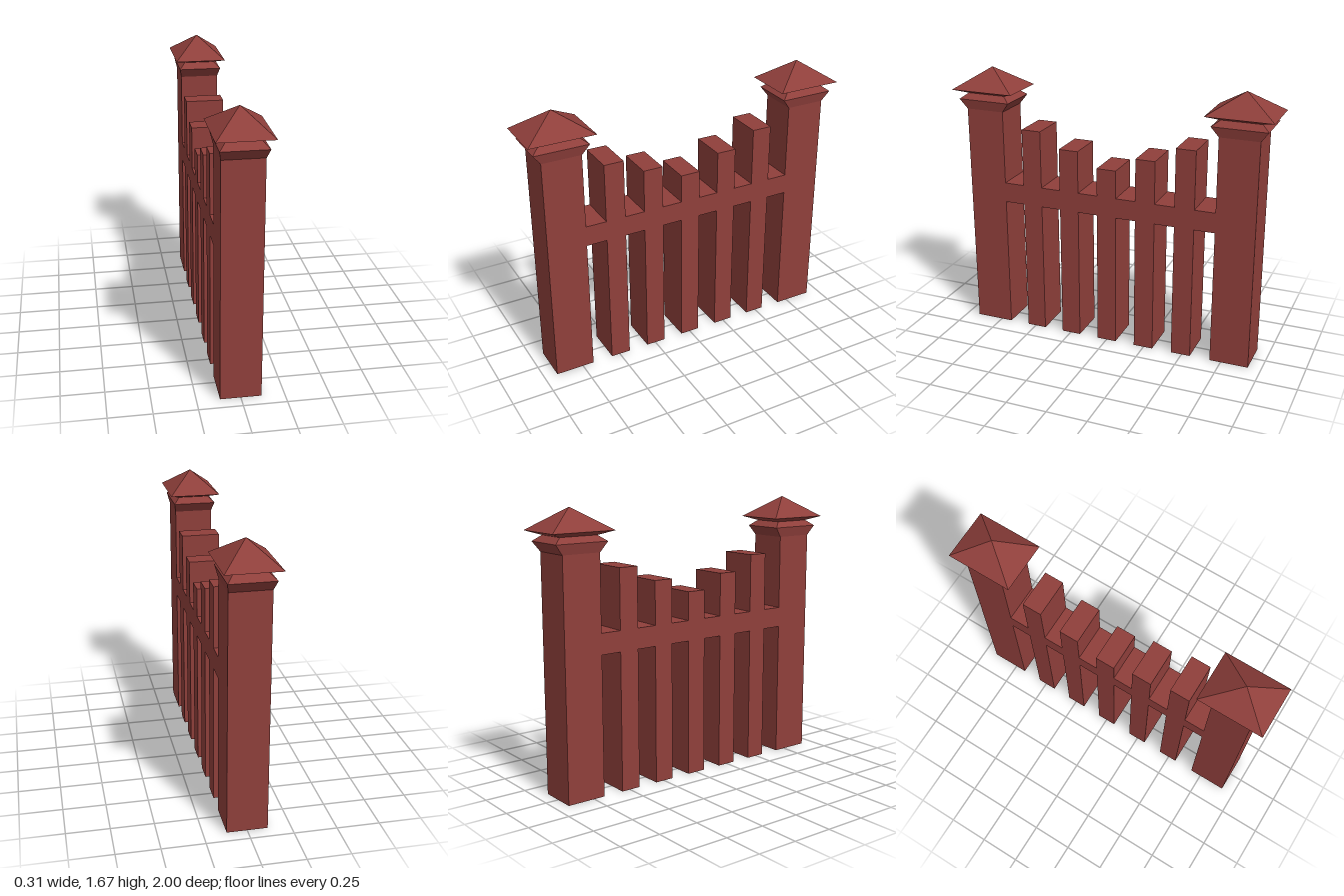
import * as THREE from 'three';

const material = new THREE.MeshStandardMaterial({ color: 0x8f3f3b, flatShading: true });

// Stack of rectangular cross-sections [y, halfX, halfZ], joined by flat sides
function stackedRects(rings) {
  const pos = [];
  const corners = rings.map(([y, hx, hz]) =>
    [[hx, y, hz], [hx, y, -hz], [-hx, y, -hz], [-hx, y, hz]]);
  const quad = (a, b, c, d) => pos.push(...a, ...b, ...c, ...a, ...c, ...d);
  for (let r = 0; r < corners.length - 1; r++) {
    const lo = corners[r], hi = corners[r + 1];
    for (let i = 0; i < 4; i++) {
      const j = (i + 1) % 4;
      if (rings[r + 1][1] === 0) pos.push(...lo[i], ...lo[j], ...hi[i]);
      else quad(lo[i], lo[j], hi[j], hi[i]);
    }
  }
  const b = corners[0], t = corners[corners.length - 1];
  quad(b[3], b[2], b[1], b[0]);
  if (rings[rings.length - 1][1] > 0) quad(t[0], t[1], t[2], t[3]);
  const g = new THREE.BufferGeometry();
  g.setAttribute('position', new THREE.Float32BufferAttribute(pos, 3));
  g.computeVertexNormals();
  return g;
}

export function createModel() {
  const model = new THREE.Group();
  const depth = 0.236;

  function add(name, geometry, y, z, parent = model) {
    const mesh = new THREE.Mesh(geometry, material);
    mesh.name = name;
    mesh.position.set(0, y, z);
    parent.add(mesh);
  }

  // End posts: square shaft, flared collar, pinched neck and pyramid cap
  const shaft = stackedRects([[0, 0.118, 0.12], [1.42, 0.118, 0.12]]);
  const collar = stackedRects([[1.42, 0.118, 0.12], [1.48, 0.131, 0.166], [1.514, 0.095, 0.12]]);
  const cap = stackedRects([[1.514, 0.095, 0.12], [1.54, 0.157, 0.2], [1.668, 0, 0]]);
  for (const side of [1, -1]) {
    const post = new THREE.Group();
    post.name = side > 0 ? 'frontPost' : 'backPost';
    post.position.z = side * 0.8;
    add('shaft', shaft, 0, 0, post);
    add('collar', collar, 0, 0, post);
    add('cap', cap, 0, 0, post);
    model.add(post);
  }

  // Pickets, dipping towards the middle
  const pitch = 0.246, width = 0.122;
  const heights = [1.14, 1.23, 1.325];
  for (let i = -2; i <= 2; i++) {
    const h = heights[Math.abs(i)];
    add('picket', new THREE.BoxGeometry(depth, h, width), h / 2, i * pitch);
  }

  // Cross rail, filling each gap flush with the pickets
  const edges = [-0.68];
  for (let i = -2; i <= 2; i++) edges.push(i * pitch - width / 2, i * pitch + width / 2);
  edges.push(0.68);
  for (let i = 0; i < edges.length; i += 2) {
    const length = edges[i + 1] - edges[i];
    add('railSegment', new THREE.BoxGeometry(depth, 0.125, length), 0.903, edges[i] + length / 2);
  }

  return model;
}
